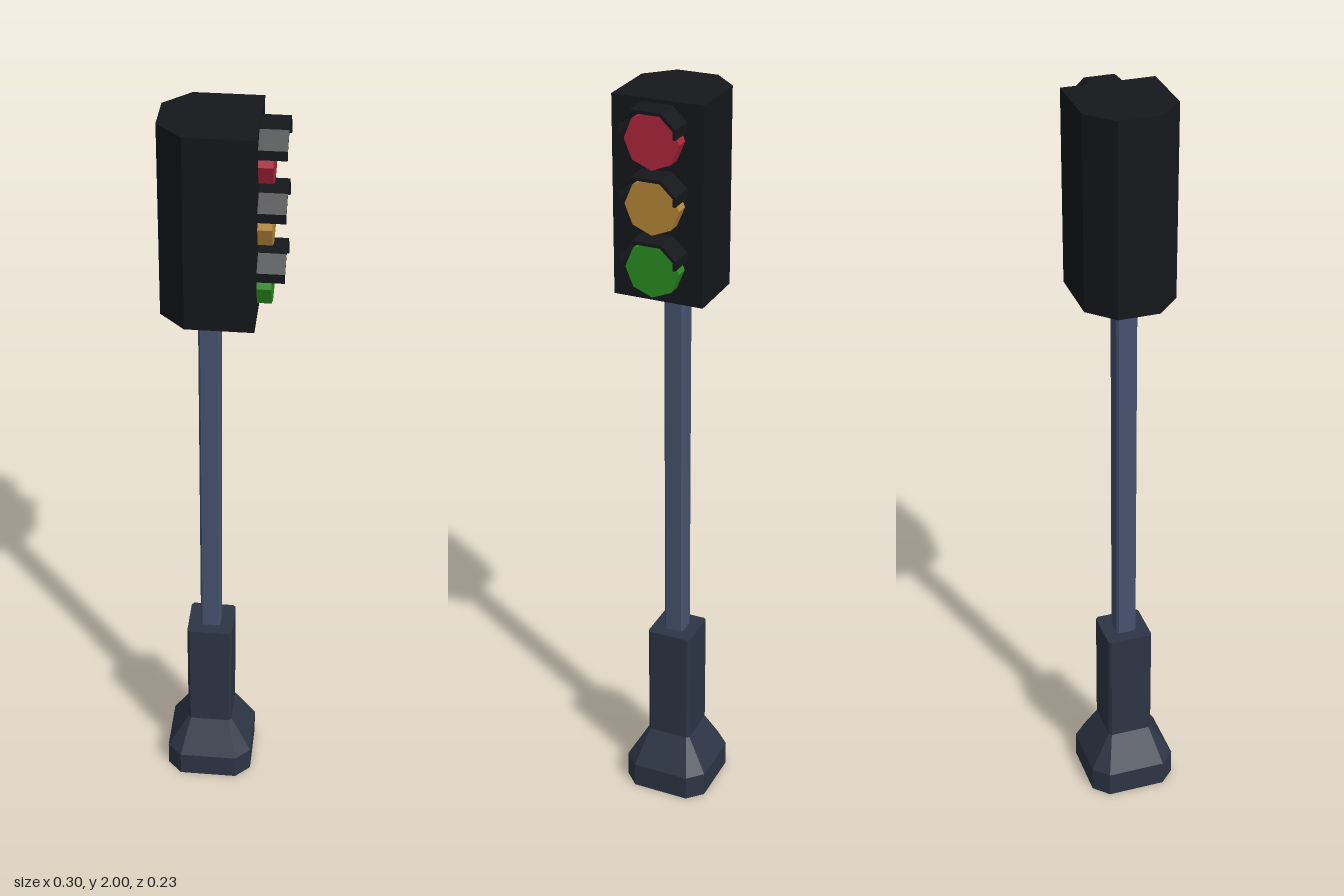
import * as THREE from 'three';

const POLE_X = -0.035;

const paint = (color) => new THREE.MeshStandardMaterial({ color, flatShading: true });

function part(name, geometry, material, x = 0, y = 0, z = 0) {
  const mesh = new THREE.Mesh(geometry, material);
  mesh.name = name;
  mesh.position.set(x, y, z);
  return mesh;
}

// Stacks square sections with cut corners: [y, half width, corner cut]
function loftGeometry(sections) {
  const rings = sections.map(([y, w, c]) => {
    const k = w - c;
    return [[w, k], [w, -k], [k, -w], [-k, -w], [-w, -k], [-w, k], [-k, w], [k, w]]
      .map(([x, z]) => [x, y, z]);
  });
  const pos = [];
  const tri = (...corners) => corners.forEach((p) => pos.push(...p));
  for (let r = 0; r < rings.length - 1; r++) {
    for (let i = 0; i < 8; i++) {
      const j = (i + 1) % 8;
      const [a, b, c, d] = [rings[r][i], rings[r][j], rings[r + 1][j], rings[r + 1][i]];
      tri(a, b, c);
      tri(a, c, d);
    }
  }
  const bottom = rings[0], top = rings[rings.length - 1];
  for (let i = 1; i < 7; i++) {
    tri(top[0], top[i], top[i + 1]);
    tri(bottom[0], bottom[i + 1], bottom[i]);
  }
  const geometry = new THREE.BufferGeometry();
  geometry.setAttribute('position', new THREE.Float32BufferAttribute(pos, 3));
  geometry.computeVertexNormals();
  return geometry;
}

function extrude(points, depth) {
  const shape = new THREE.Shape(points.map(([x, y]) => new THREE.Vector2(x, y)));
  return new THREE.ExtrudeGeometry(shape, { depth, bevelEnabled: false });
}

export function createModel() {
  const group = new THREE.Group();
  group.name = 'trafficLight';
  const black = paint(0x15171b);

  // Flared foot, collar and slim pole
  group.add(part('base', loftGeometry([
    [0, 0.117, 0.039], [0.07, 0.117, 0.039], [0.165, 0.061, 0.007], [0.49, 0.061, 0.007],
  ]), paint(0x2d3545), POLE_X));
  group.add(part('pole', loftGeometry([
    [0.48, 0.027, 0.005], [1.51, 0.027, 0.005],
  ]), paint(0x465470), POLE_X));

  // Signal box with its two rear corners cut off
  const housing = extrude([
    [0.083, -0.117], [0.083, 0.117], [-0.085, 0.117],
    [-0.15, 0.053], [-0.15, -0.053], [-0.085, -0.117],
  ], 0.5);
  housing.rotateX(-Math.PI / 2);
  group.add(part('housing', housing, black, 0, 1.5, 0));

  // Lamps, each under an angular hood
  const lens = new THREE.CylinderGeometry(0.07, 0.07, 0.045, 8);
  lens.rotateZ(-Math.PI / 2);
  const outer = [[0.075, 0.022], [0.075, 0.046], [0.038, 0.081]];
  const inner = [[0.068, 0.022], [0.068, 0.042], [0.035, 0.073]];
  const flip = (list) => list.map(([x, y]) => [-x, y]).reverse();
  const visor = extrude([...outer, ...flip(outer), ...flip(inner).reverse(), ...inner.slice().reverse()], 0.077);
  visor.rotateY(Math.PI / 2);

  const lamps = [['red', 0xb0263c, 1.91], ['amber', 0xb98a38, 1.75], ['green', 0x2c8f22, 1.592]];
  for (const [name, color, y] of lamps) {
    group.add(part(name + 'Lamp', lens, paint(color), 0.0955, y, 0));
    group.add(part(name + 'Visor', visor, black, 0.073, y, 0));
  }
  return group;
}
